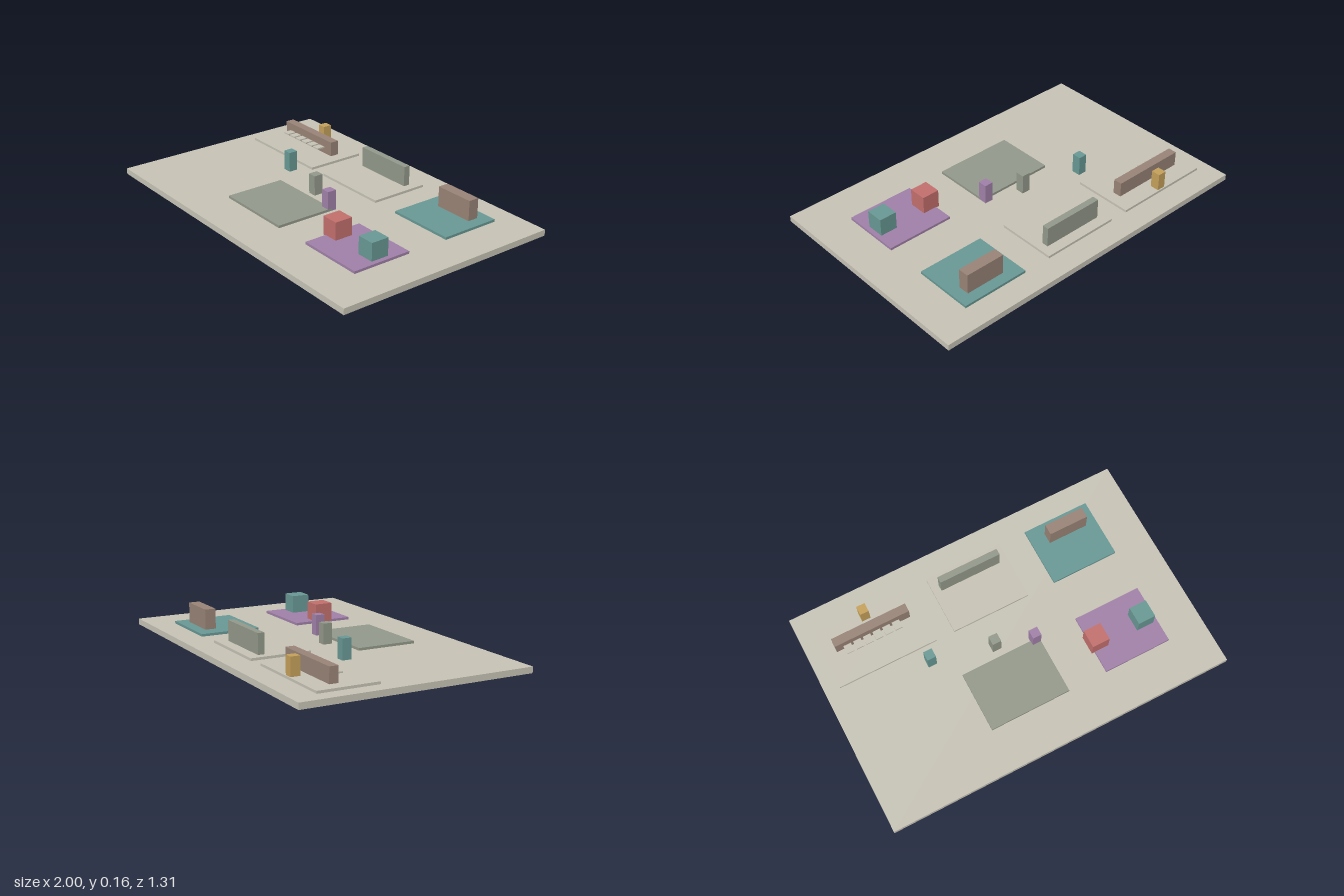
import * as THREE from 'three';

const mat = (name, color) => {
  const m = new THREE.MeshStandardMaterial({ color });
  m.name = name;
  return m;
};

export function createModel() {
  const group = new THREE.Group();
  const stone = mat('stone', 0xc6c2b5);
  const teal = mat('teal', 0x689894);
  const purple = mat('purple', 0xa080a8);
  const sage = mat('sage', 0x92988a);
  const brown = mat('brown', 0x988376);
  const red = mat('red', 0xc26f6c);
  const ochre = mat('ochre', 0xc4a05a);

  // Box given by its extents along each axis
  const block = (name, material, [x0, x1], [y0, y1], [z0, z1], parent = group) => {
    const mesh = new THREE.Mesh(new THREE.BoxGeometry(x1 - x0, y1 - y0, z1 - z0), material);
    mesh.position.set((x0 + x1) / 2, (y0 + y1) / 2, (z0 + z1) / 2);
    mesh.name = name;
    parent.add(mesh);
    return mesh;
  };

  const FLOOR = 0.034, PAD = 0.048, POST = 0.148;

  // Ground slab
  block('groundSlab', stone, [-1, 1], [0, FLOOR], [-0.655, 0.655]);

  // Raised zone pads: back row, then front row
  const back = [-0.517, -0.174], front = [0.07, 0.413], padY = [FLOOR, PAD];
  block('backRightPad', stone, [-0.915, -0.338], padY, back);
  block('backMiddlePad', stone, [-0.23, 0.225], padY, back);
  block('backLeftPad', teal, [0.388, 0.777], padY, back);
  block('frontMiddlePad', sage, [-0.305, 0.16], padY, front);
  block('frontLeftPad', purple, [0.388, 0.777], padY, front);

  // Long counter with a row of small trays on its front
  const counter = new THREE.Group();
  counter.name = 'trayCounter';
  group.add(counter);
  block('counterBody', brown, [-0.845, -0.405], [PAD, 0.133], [-0.412, -0.362], counter);
  for (let i = 0; i < 6; i++) {
    const x = -0.78 + i * 0.0577;
    block('tray', stone, [x - 0.022, x + 0.022], [0.08, 0.088], [-0.362, -0.313], counter);
  }

  // Wall panel and bench on the other back pads
  block('wallPanel', sage, [-0.184, 0.177], [PAD, 0.162], [-0.455, -0.418]);
  block('bench', brown, [0.481, 0.711], [PAD, 0.162], [-0.455, -0.393]);

  // Cubes on the front left pad
  block('redCube', red, [0.369, 0.47], [PAD - 0.004, POST], [0.184, 0.287]);
  block('tealCube', teal, [0.651, 0.751], [PAD, POST], [0.184, 0.287]);

  // Small standing posts: x, z, base height
  const posts = [
    ['ochrePost', ochre, -0.623, -0.484, PAD],
    ['tealPost', teal, -0.419, -0.083, FLOOR],
    ['sagePost', sage, -0.072, 0.001, FLOOR],
    ['purplePost', purple, 0.135, 0.07, FLOOR],
  ];
  for (const [name, m, x, z, y] of posts) {
    block(name, m, [x - 0.025, x + 0.025], [y, POST], [z - 0.026, z + 0.026]);
  }

  return group;
}
